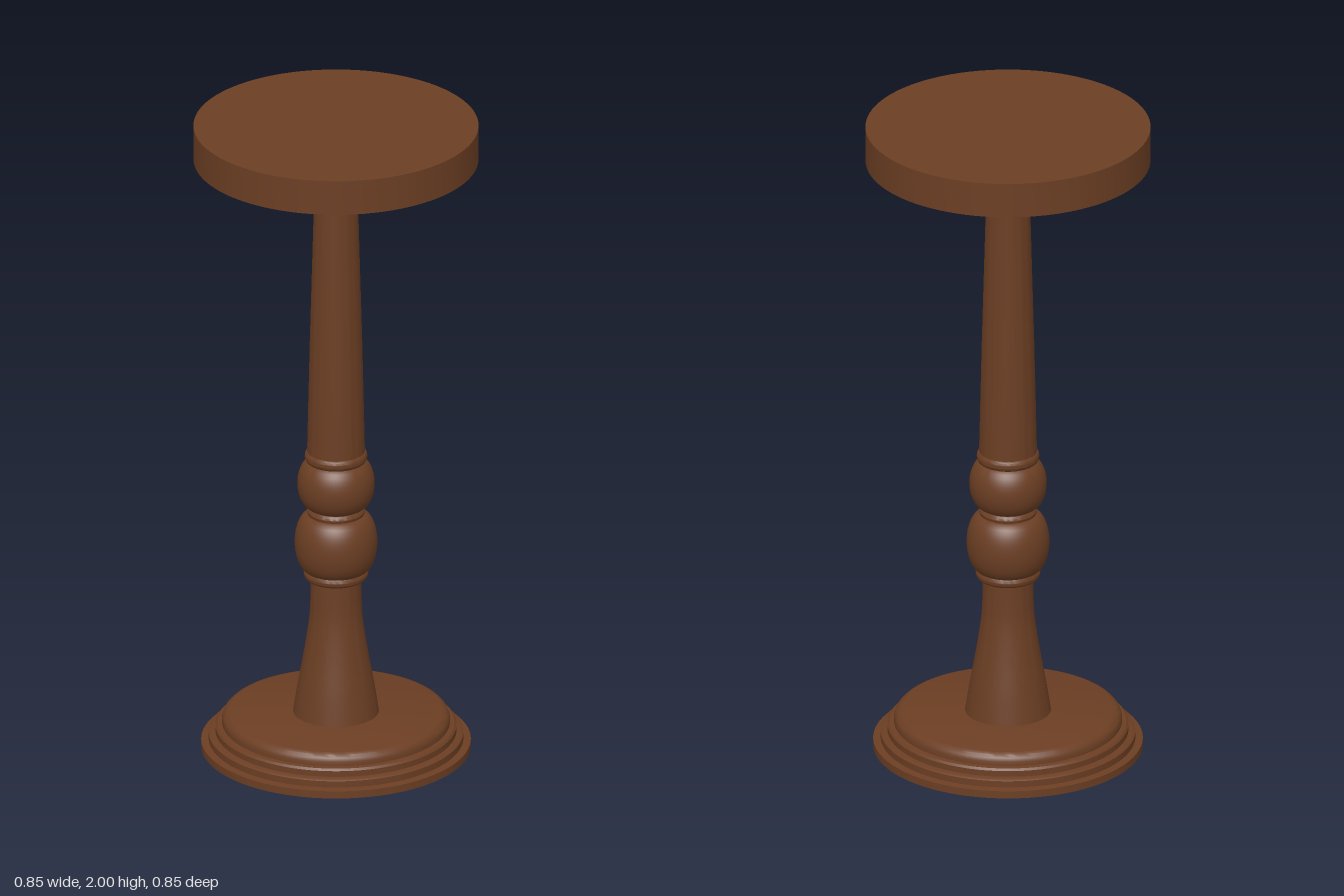
import * as THREE from 'three';
import { toCreasedNormals } from 'three/addons/utils/BufferGeometryUtils.js';

export function createModel() {
  const group = new THREE.Group();
  const wood = new THREE.MeshStandardMaterial({ color: 0x6b3e23 });
  wood.name = 'brownWood';

  // Turned part: profile of [radius, height] from bottom to top
  function turned(name, profile, segments = 64) {
    const points = profile.map(([r, y]) => new THREE.Vector2(r, y));
    const geometry = toCreasedNormals(new THREE.LatheGeometry(points, segments), 0.6);
    const mesh = new THREE.Mesh(geometry, wood);
    mesh.name = name;
    group.add(mesh);
  }

  // Rounded bulge between two heights; a lower power gives a squarer side
  function bulge(name, y0, y1, rEnd, rMax, power = 0.5, steps = 16) {
    const profile = [];
    for (let i = 0; i <= steps; i++) {
      const a = (i / steps) * Math.PI;
      const r = rEnd + (rMax - rEnd) * Math.pow(Math.max(0, Math.sin(a)), power * 2);
      profile.push([r, (y0 + y1) / 2 - ((y1 - y0) / 2) * Math.cos(a)]);
    }
    turned(name, profile);
  }

  // Stepped round foot with softened top edge
  turned('base', [
    [0, 0], [0.4, 0], [0.4, 0.023], [0.378, 0.026],
    [0.378, 0.046], [0.372, 0.05], [0.358, 0.052],
    [0.358, 0.07], [0.352, 0.076], [0.338, 0.078],
    [0.338, 0.091], [0.334, 0.102], [0.326, 0.11], [0.314, 0.114], [0, 0.114],
  ], 96);

  // Flared lower stem
  const flare = new THREE.SplineCurve([
    [0.128, 0.11], [0.114, 0.2], [0.098, 0.29], [0.084, 0.38], [0.077, 0.45], [0.075, 0.56],
  ].map(([r, y]) => new THREE.Vector2(r, y)));
  turned('lowerStem', flare.getPoints(20).map((p) => [p.x, p.y]));

  // Beads, with thin rings between them
  bulge('lowerRing', 0.542, 0.576, 0.08, 0.096);
  bulge('lowerBead', 0.566, 0.752, 0.075, 0.123, 0.45);
  bulge('middleRing', 0.744, 0.772, 0.072, 0.086);
  turned('middleNeck', [[0.074, 0.73], [0.074, 0.8]]);
  bulge('upperBead', 0.77, 0.926, 0.07, 0.115);
  bulge('upperRing', 0.918, 0.954, 0.08, 0.093);

  // Tapered upper stem
  turned('upperStem', [[0.086, 0.91], [0.086, 0.95], [0.078, 1.3], [0.062, 1.88]]);

  // Round top with a shallow conical underside
  turned('tableTop', [[0, 1.873], [0.06, 1.876], [0.423, 1.892], [0.423, 2], [0, 2]], 96);

  return group;
}
